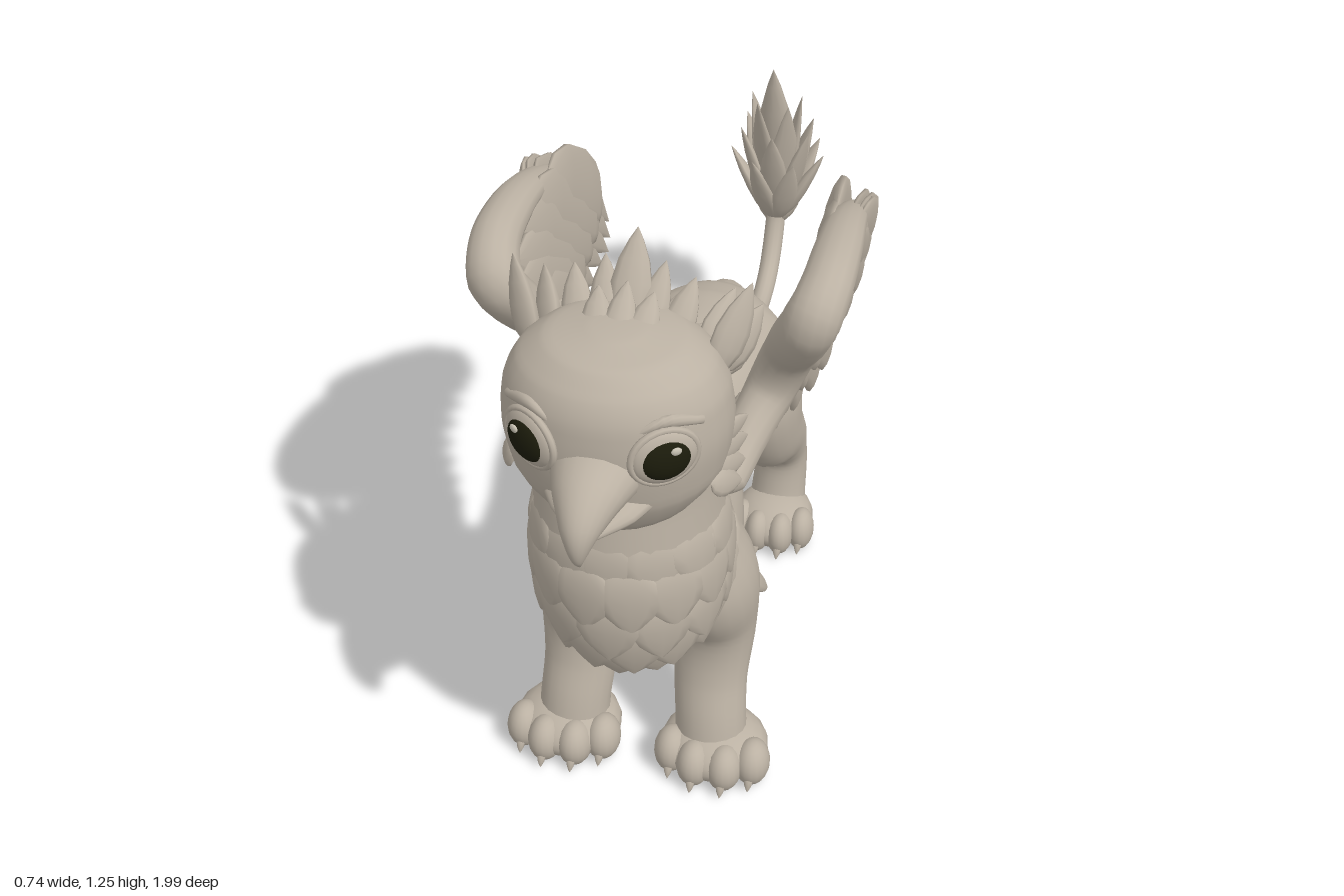
import * as THREE from 'three';
import { mergeGeometries } from 'three/addons/utils/BufferGeometryUtils.js';

const V = (x, y, z) => new THREE.Vector3(x, y, z);
const stone = new THREE.MeshStandardMaterial({ color: 0xbbb1a3 });
stone.name = 'warm stone';
const dark = new THREE.MeshStandardMaterial({ color: 0x1c1c0c });
dark.name = 'pupil dark';
const glint = new THREE.MeshStandardMaterial({ color: 0xc9c3b4 });
glint.name = 'eye glint';

// Smooth skin over elliptical rings; stations are [x, y, z, half width, half depth]
function loft(stations, seg = 20, steps = 5) {
  const path = new THREE.CatmullRomCurve3(stations.map(p => V(p[0], p[1], p[2])));
  const size = new THREE.CatmullRomCurve3(stations.map(p => V(p[3], p[4], 0)));
  const rings = (stations.length - 1) * steps, pos = [], idx = [];
  for (let i = 0; i <= rings; i++) {
    const t = i / rings, c = path.getPoint(t), r = size.getPoint(t), T = path.getTangent(t);
    const S = V(1, 0, 0).addScaledVector(T, -T.x).normalize();
    const U = T.clone().cross(S);
    for (let j = 0; j < seg; j++) {
      const a = j / seg * Math.PI * 2;
      const p = c.clone().addScaledVector(S, Math.max(r.x, 0.002) * Math.cos(a))
        .addScaledVector(U, Math.max(r.y, 0.002) * Math.sin(a));
      pos.push(p.x, Math.max(p.y, 0), p.z);
      if (i === rings) continue;
      const k = i * seg + j, n = i * seg + (j + 1) % seg;
      idx.push(k, n, k + seg, n, n + seg, k + seg);
    }
  }
  const first = path.getPoint(0), last = path.getPoint(1), c0 = pos.length / 3;
  pos.push(first.x, first.y, first.z, last.x, last.y, last.z);
  for (let j = 0; j < seg; j++) {
    const n = (j + 1) % seg;
    idx.push(c0, n, j, c0 + 1, rings * seg + j, rings * seg + n);
  }
  const g = new THREE.BufferGeometry();
  g.setAttribute('position', new THREE.Float32BufferAttribute(pos, 3));
  g.setIndex(idx);
  g.computeVertexNormals();
  return g;
}

// Leaf from base to tip, flat along the given normal, arched by the bow vector
const outline = pts => pts.map(p => new THREE.Vector2(p[0], p[1]));
const pointed = outline([[0.001, 0], [0.3, 0.1], [0.47, 0.28], [0.48, 0.48], [0.36, 0.7], [0.17, 0.88], [0.001, 1]]);
const blunt = outline([[0.001, 0], [0.3, 0.1], [0.45, 0.3], [0.5, 0.6], [0.46, 0.82], [0.28, 0.95], [0.001, 1]]);
function feather(base, tip, width, thick, normal, shape = pointed, bow = V(0, 0, 0)) {
  const Y = tip.clone().sub(base), len = Y.length();
  Y.normalize();
  const Z = normal.clone().addScaledVector(Y, -normal.dot(Y)).normalize();
  const g = new THREE.LatheGeometry(shape, 10);
  g.scale(width, len, thick);
  g.applyMatrix4(new THREE.Matrix4().makeBasis(Y.clone().cross(Z), Y, Z).setPosition(base));
  const p = g.attributes.position, uv = g.attributes.uv;
  for (let i = 0; i < p.count; i++) {
    const k = Math.sin(Math.PI * uv.getY(i));
    p.setXYZ(i, p.getX(i) + bow.x * k, p.getY(i) + bow.y * k, p.getZ(i) + bow.z * k);
  }
  return g;
}

// Ellipsoid flattened where it meets the floor
function blob(x, y, z, rx, ry, rz) {
  const g = new THREE.SphereGeometry(1, 18, 12).scale(rx, ry, rz).translate(x, y, z), p = g.attributes.position;
  for (let i = 0; i < p.count; i++) p.setY(i, Math.max(0, p.getY(i)));
  return g;
}

export function createModel() {
  const model = new THREE.Group();
  model.name = 'griffin';
  const add = (name, g, mat = stone, parent = model) => {
    const m = new THREE.Mesh(g, mat);
    m.name = name;
    parent.add(m);
    return m;
  };

  // Body, neck, head and tail
  add('torso', loft([[0, .565, -.185, .04, .04], [0, .565, -.165, .12, .105], [0, .555, -.08, .18, .15], [0, .54, .06, .17, .175],
    [0, .52, .25, .145, .17], [0, .5, .42, .175, .18], [0, .52, .58, .2, .19], [0, .555, .72, .15, .16], [0, .57, .81, .05, .07]], 28));
  add('neck', loft([[0, .5, .6, .17, .17], [0, .62, .63, .19, .2], [0, .75, .64, .18, .175],
    [0, .86, .65, .175, .148], [0, .98, .66, .175, .15]], 28));
  add('head', loft([[0, .81, .68, .1, .1], [0, .842, .69, .16, .145], [0, .9, .698, .197, .172], [0, .98, .7, .208, .18],
    [0, 1.05, .698, .2, .174], [0, 1.1, .695, .175, .152], [0, 1.137, .694, .125, .115], [0, 1.155, .694, .04, .04]], 32));
  add('upperBeak', loft([[0, .955, .83, .09, .062], [0, .948, .91, .062, .052], [0, .918, .96, .036, .038],
    [0, .88, .976, .016, .02], [0, .85, .972, .003, .003]]));
  add('lowerBeak', loft([[0, .902, .81, .12, .035], [0, .885, .88, .075, .026], [0, .877, .935, .015, .01]]));
  add('tail', loft([[0, .62, -.12, .06, .06], [0, .56, -.25, .043, .043], [0, .43, -.38, .033, .033], [0, .31, -.5, .028, .03],
    [0, .257, -.64, .025, .027], [0, .28, -.78, .025, .028], [0, .38, -.865, .025, .025], [0, .5, -.885, .02, .02]], 14));

  // Leafy tail tuft: [count, base height, tip height, spread, width]
  const tuft = [feather(V(0, .45, -.88), V(0, .87, -.785), .1, .07, V(0, 0, 1))];
  for (const [n, y0, y1, r, w] of [[5, .42, .77, .06, .085], [6, .41, .68, .09, .08], [7, .39, .595, .112, .07], [6, .38, .5, .07, .055]])
    for (let i = 0; i < n; i++) {
      const a = (i + (n % 2) / 2) / n * Math.PI * 2, out = V(Math.sin(a), 0, Math.cos(a));
      const tip = V(out.x * r * 1.1, y1, -.908 + (y1 - .55) * .35 + out.z * r * .92);
      tuft.push(feather(V(out.x * .012, y0, -.875 + out.z * .012), tip, w, .035, out));
    }
  add('tailTuft', mergeGeometries(tuft));

  // Overlapping ruff rows: [height, centre z, half width, half depth, count, span, length, flare]
  const ruff = [];
  for (const [y, cz, a, b, n, span, len, flare] of [
    [.76, .64, .165, .158, 13, 3, .14, .025], [.7, .635, .175, .18, 10, 2.1, .15, .018],
    [.62, .635, .178, .183, 7, 1.65, .15, .005], [.56, .63, .17, .178, 6, 1.25, .15, -.012],
    [.51, .62, .15, .165, 3, .6, .14, -.025], [.47, .62, .12, .145, 2, .25, .12, -.045]])
    for (let i = 0; i < n; i++) {
      const f = span * (2 * i / (n - 1) - 1), out = V(Math.sin(f), 0, Math.cos(f));
      const base = V(a * out.x, y, cz + b * out.z);
      ruff.push(feather(base, base.clone().addScaledVector(out, flare).add(V(0, -len, 0)), .13, .03, out));
    }
  add('chestRuff', mergeGeometries(ruff));

  // Crest on top of the head
  const crest = [feather(V(0, 1.09, .64), V(0, 1.25, .53), .08, .035, V(0, .4, 1)),
    feather(V(0, 1.11, .72), V(0, 1.19, .61), .06, .03, V(0, 1, .5)),
    feather(V(0, 1.05, .59), V(0, 1.13, .505), .07, .03, V(0, .5, -1))];
  for (const s of [1, -1]) for (const [x0, y0, z0, x1, y1, z1] of [[.035, 1.09, .65, .055, 1.2, .55], [.08, 1.08, .65, .11, 1.18, .56],
    [.035, 1.11, .71, .05, 1.18, .62], [.06, 1.04, .58, .08, 1.12, .515], [.1, 1.02, .58, .13, 1.06, .52]])
    crest.push(feather(V(s * x0, y0, z0), V(s * x1, y1, z1), .06, .03, V(0, .4, 1)));
  add('crest', mergeGeometries(crest));

  for (const [side, s] of [['left', 1], ['right', -1]]) {
    // Eye
    const eye = new THREE.Group();
    eye.name = side + 'Eye';
    eye.position.set(s * .117, 1.003, .84);
    eye.rotation.y = s * .58;
    model.add(eye);
    add('eyeball', new THREE.SphereGeometry(1, 24, 16).scale(.06, .055, .02), stone, eye);
    add('eyelid', new THREE.TorusGeometry(.06, .007, 8, 28).scale(1, .92, 1), stone, eye);
    add('pupil', new THREE.SphereGeometry(1, 24, 16).scale(.046, .042, .02).translate(0, 0, .007), dark, eye);
    add('glint', new THREE.SphereGeometry(1, 10, 8).scale(.01, .008, .004).translate(s * .014, .024, .023), glint, eye);
    add(side + 'Brow', loft([[s * .05, 1.04, .857, .006, .008], [s * .115, 1.07, .832, .01, .012], [s * .172, 1.05, .785, .006, .008]], 10));

    // Ear tuft and cheek feathers
    add(side + 'Ear', mergeGeometries([[.165, 1.05, .66, .215, 1.2, .585], [.17, 1.04, .64, .23, 1.14, .56], [.14, 1.05, .63, .175, 1.15, .535],
      [.165, 1.02, .62, .205, 1.08, .53]].map(e => feather(V(s * e[0], e[1], e[2]), V(s * e[3], e[4], e[5]), .07, .03, V(s * .5, 0, 1)))));
    add(side + 'Cheek', mergeGeometries([[.95, .72, .955, .64], [.925, .73, .91, .64], [.905, .74, .87, .66], [.885, .76, .845, .69]]
      .map(c => feather(V(s * .18, c[0], c[1]), V(s * .222, c[2], c[3]), .055, .02, V(s, 0, 0)))));

    // Legs, with feathered elbows in front
    add(side + 'FrontLeg', loft([[s * .115, .58, .56, .07, .1], [s * .135, .46, .545, .093, .115], [s * .14, .33, .525, .085, .088],
      [s * .138, .2, .56, .076, .06], [s * .145, .1, .59, .074, .065], [s * .15, 0, .6, .08, .08]]));
    add(side + 'HindLeg', loft([[s * .08, .6, -.04, .06, .1], [s * .115, .5, -.035, .09, .14], [s * .133, .37, -.06, .08, .105],
      [s * .145, .27, -.145, .067, .075], [s * .15, .19, -.178, .06, .056], [s * .147, .09, -.168, .064, .058], [s * .145, 0, -.14, .07, .07]]));
    add(side + 'ElbowFeathers', mergeGeometries([[.2, .41, .225, .31], [.165, .39, .17, .25], [.2, .36, .195, .25], [.13, .4, .12, .29]]
      .map(e => feather(V(s * e[0], e[1], .48), V(s * e[2], e[3], .405), .05, .02, V(s, 0, -.4)))));
    for (const [name, cx, z, k] of [['FrontPaw', .157, .62, 1], ['HindPaw', .145, -.1, .84]]) {
      const paw = [blob(s * cx, .045, z - .015, .112 * k, .06, .1)];
      for (const [x, dz] of [[-.083, .022], [-.03, .05], [.033, .05], [.086, .022]]) {
        const tx = s * (cx + x * k);
        paw.push(blob(tx, .045, z + dz, .037 * k, .052, .046));
        paw.push(feather(V(tx, .045, z + dz + .027), V(tx, .004, z + dz + .05), .018, .02, V(1, 0, 0)));
      }
      add(side + name, mergeGeometries(paw));
    }

    // Wing: the arm leans in toward the shoulder while the feathers stay further out
    const wingX = (z, y) => {
      const d = Math.max(0, 1.09 - y);
      return .32 - THREE.MathUtils.lerp(.25 * d * d, .39 * d, THREE.MathUtils.smoothstep(z, 0, .42));
    };
    const W = (z, y, off = 0) => V(s * (wingX(z, y) + off), y, z);
    const wing = new THREE.Group();
    wing.name = side + 'Wing';
    model.add(wing);
    add('wingArm', loft([[.535, .67, .01, .01], [.51, .68, .035, .035], [.42, .72, .045, .045], [.35, .79, .05, .042], [.355, .88, .053, .042],
      [.42, .97, .056, .048], [.45, 1.04, .054, .05], [.4, 1.08, .05, .045], [.29, 1.093, .046, .035], [.15, 1.07, .038, .026],
      [0, 1, .025, .018], [-.1, .915, .004, .004]].map(([z, y, a, b]) => [s * wingX(z, y), y, z, a, b]), 14), stone, wing);
    const curve = pts => new THREE.CatmullRomCurve3(pts.map(p => V(0, p[1], p[0])));
    const roots = curve([[.14, 1.07], [.28, 1.08], [.39, 1.05], [.42, 1], [.38, .92], [.35, .85], [.38, .76], [.44, .72]]);
    const tips = curve([[-.28, .71], [-.25, .665], [-.17, .66], [-.06, .645], [.05, .62], [.15, .605], [.26, .61], [.35, .65]]);
    // Layers: [name, count, reach toward the tips, sideways offset, width, thickness, outward bow]
    for (const [name, n, reach, off, w, th, bulge] of [['flightFeathers', 12, 1, 0, .1, .024, .02], ['outerCoverts', 10, .62, .012, .1, .022, .02],
      ['shoulderCoverts', 9, .36, .022, .09, .022, .012], ['innerCoverts', 11, .72, -.025, .16, .04, -.012]]) {
      const list = [];
      for (let i = 0; i < n; i++) {
        const t = i / (n - 1), a = roots.getPoint(t), b = a.clone().lerp(tips.getPoint(t), reach);
        list.push(feather(W(a.z, a.y, off), W(b.z, b.y, off), w * (1 - .25 * t), th, V(s, -.2, 0), blunt,
          V(s * bulge, .055 * reach * (1 - t), 0)));
      }
      add(name, mergeGeometries(list), stone, wing);
    }
  }
  return model;
}
